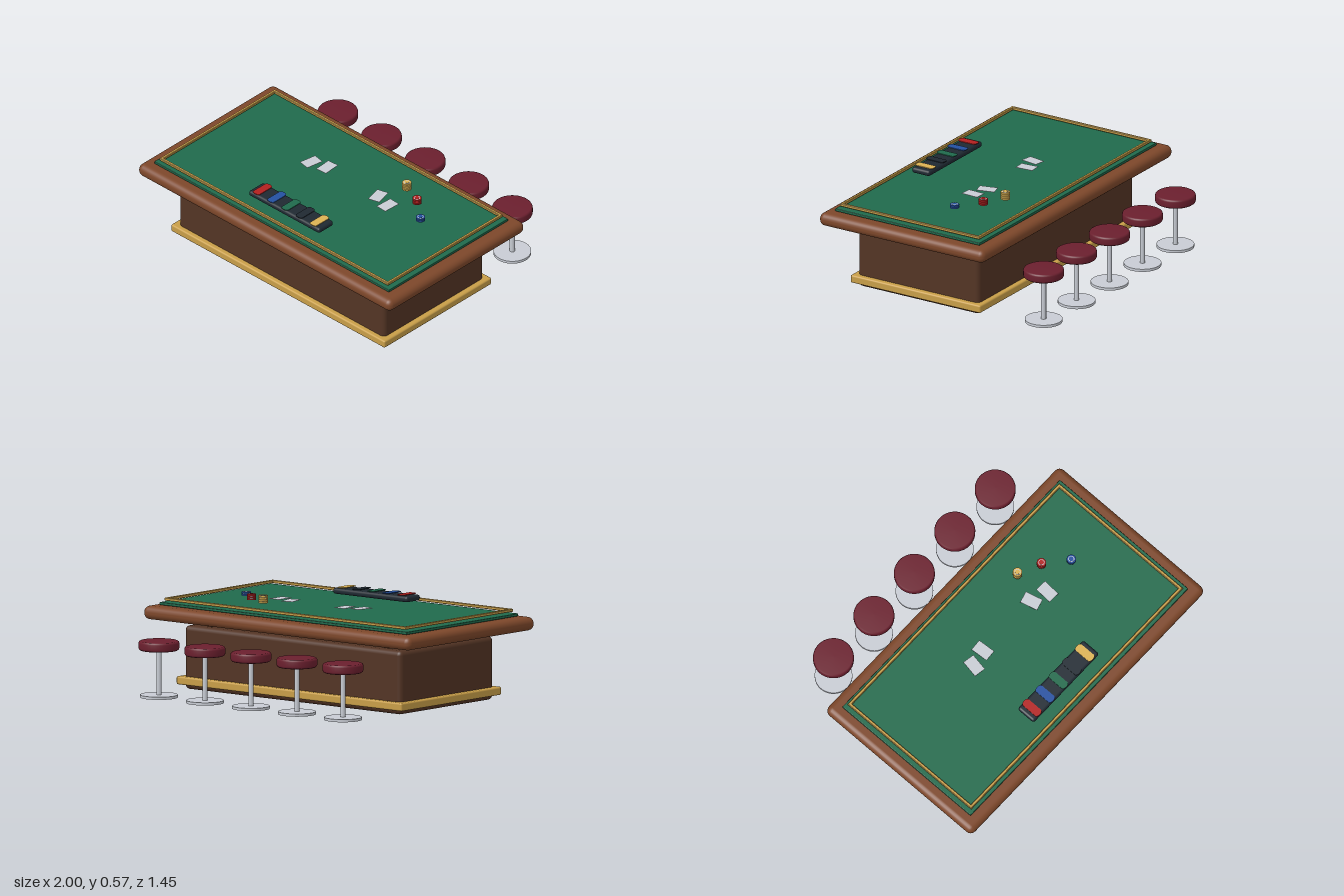
import * as THREE from 'three';
import { RoundedBoxGeometry } from 'three/addons/geometries/RoundedBoxGeometry.js';

export function createModel() {
  const root = new THREE.Group();
  root.name = 'cardTableWithStools';

  const mat = (name, color) => {
    const m = new THREE.MeshStandardMaterial({ color });
    m.name = name;
    return m;
  };
  const wood = mat('railWood', 0x7d472a);
  const darkWood = mat('darkWood', 0x533424);
  const felt = mat('greenFelt', 0x1f6a4c);
  const brass = mat('brass', 0xc89e48);
  const black = mat('trayBlack', 0x1f2932);
  const leather = mat('redLeather', 0x6b1f2e);
  const silver = mat('paleSilver', 0xc8ccd4);
  const red = mat('chipRed', 0xb3201f);
  const blue = mat('chipBlue', 0x2450a0);
  const yellow = mat('chipYellow', 0xdcb254);

  const add = (parent, name, geo, material, x = 0, y = 0, z = 0) => {
    const mesh = new THREE.Mesh(geo, material);
    mesh.name = name;
    mesh.position.set(x, y, z);
    parent.add(mesh);
    return mesh;
  };
  // Rounded slab spanning y0..y1
  const slab = (name, material, w, d, y0, y1, r, x = 0, z = 0.16) =>
    add(root, name, new RoundedBoxGeometry(w, y1 - y0, d, 3, r), material, x, (y0 + y1) / 2, z);
  // Upright disc spanning y0..y1
  const disc = (parent, name, material, r, y0, y1, seg = 32) =>
    add(parent, name, new THREE.CylinderGeometry(r, r, y1 - y0, seg), material, 0, (y0 + y1) / 2, 0);
  const lathe = (pts, seg = 40) =>
    new THREE.LatheGeometry(pts.map(([x, y]) => new THREE.Vector2(x, y)), seg);

  // Table body
  slab('base', darkWood, 1.625, 0.825, 0.001, 0.368, 0.028);
  slab('baseTrim', brass, 1.69, 0.885, 0.028, 0.075, 0.01);
  const legShape = lathe([[0, 0.3], [0.045, 0.3], [0.045, 0.355], [0.056, 0.37], [0.06, 0.385], [0.058, 0.41], [0, 0.41]], 24);
  for (const x of [-0.665, 0.665])
    for (const z of [-0.143, 0.473]) add(root, 'leg', legShape, wood, x, 0, z);

  // Table top
  slab('rail', wood, 2, 1.125, 0.402, 0.48, 0.036);
  slab('playingFelt', felt, 1.855, 0.985, 0.484, 0.5, 0.004);

  // Raised brass border, open in the middle
  const rect = (path, w, d) => {
    path.moveTo(-w / 2, -d / 2);
    path.lineTo(w / 2, -d / 2);
    path.lineTo(w / 2, d / 2);
    path.lineTo(-w / 2, d / 2);
    path.closePath();
    return path;
  };
  const border = rect(new THREE.Shape(), 1.799, 0.944);
  border.holes.push(rect(new THREE.Path(), 1.775, 0.92));
  const borderGeo = new THREE.ExtrudeGeometry(border, {
    depth: 0.011, bevelThickness: 0.003, bevelSize: 0.003, bevelSegments: 1,
  });
  borderGeo.rotateX(-Math.PI / 2);
  add(root, 'feltBorder', borderGeo, brass, 0, 0.512, 0.16);

  // Chip tray with five coloured rows
  slab('chipTray', black, 0.56, 0.122, 0.525, 0.559, 0.015, 0, 0.492);
  const row = new THREE.Shape();
  row.moveTo(-0.025, -0.05);
  row.quadraticCurveTo(-0.022, -0.061, 0, -0.062);
  row.quadraticCurveTo(0.022, -0.061, 0.025, -0.05);
  row.lineTo(0.025, 0.05);
  row.quadraticCurveTo(0.022, 0.061, 0, 0.062);
  row.quadraticCurveTo(-0.022, 0.061, -0.025, 0.05);
  row.closePath();
  const rowGeo = new THREE.ExtrudeGeometry(row, { depth: 0.004, bevelEnabled: false, curveSegments: 5 });
  rowGeo.rotateX(-Math.PI / 2);
  [red, blue, felt, black, yellow].forEach((m, i) =>
    add(root, 'chipRow', rowGeo, m, -0.225 + i * 0.1125, 0.562, 0.492));

  // Chip stacks on the felt: [material, x, z, count]
  for (const [m, x, z, count] of [[yellow, 0.33, -0.12, 4], [red, 0.468, -0.06, 3], [blue, 0.601, 0.05, 2]]) {
    const stack = new THREE.Group();
    stack.name = 'chipStack';
    stack.position.set(x, 0.528, z);
    for (let i = 0; i < count; i++) {
      disc(stack, 'chip', m, 0.027, i * 0.012, i * 0.012 + 0.009, 20);
      disc(stack, 'chipInlay', silver, 0.018, i * 0.012 + 0.008, i * 0.012 + 0.0105, 20);
    }
    const top = (count - 1) * 0.012 + 0.0095;
    disc(stack, 'chipCentre', m, 0.014, top, top + 0.002, 20);
    root.add(stack);
  }

  // Playing cards: [x, z, turn]
  const cardGeo = new THREE.BoxGeometry(0.072, 0.002, 0.108);
  for (const [x, z, turn] of [[-0.247, 0.067, -0.17], [-0.145, 0.042, 0.07], [0.264, 0.047, 0.26], [0.367, 0.076, -0.05]])
    add(root, 'card', cardGeo, silver, x, 0.53, z).rotation.y = turn;

  // Row of stools behind the table
  const seatGeo = lathe([[0, 0.277], [0.107, 0.277], [0.114, 0.282], [0.117, 0.29], [0.117, 0.318], [0.114, 0.326], [0.107, 0.33], [0, 0.331]]);
  for (let i = -2; i <= 2; i++) {
    const stool = new THREE.Group();
    stool.name = 'stool';
    stool.position.set(i * 0.345, 0, -0.615);
    add(stool, 'seat', seatGeo, leather);
    disc(stool, 'post', silver, 0.015, 0.015, 0.28, 20);
    disc(stool, 'foot', silver, 0.108, 0.004, 0.02, 40);
    root.add(stool);
  }

  return root;
}
